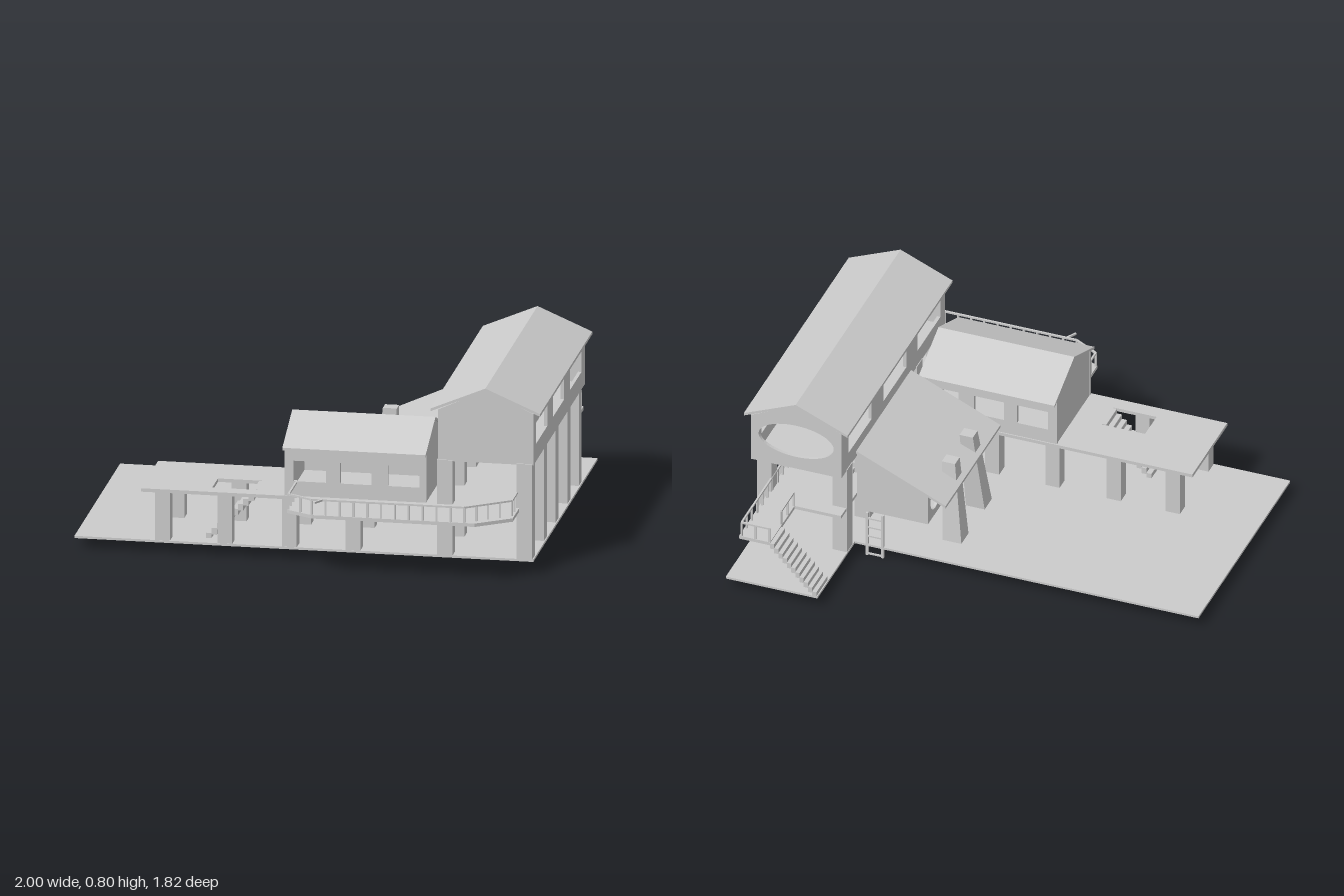
import * as THREE from 'three';

const mat = new THREE.MeshStandardMaterial({ color: 0xcccccc, side: THREE.DoubleSide });

export function createModel() {
  const model = new THREE.Group();

  const add = (name, geo, parent = model) => {
    const m = new THREE.Mesh(geo, mat);
    m.name = name;
    parent.add(m);
    return m;
  };
  const group = (name) => {
    const g = new THREE.Group();
    g.name = name;
    model.add(g);
    return g;
  };
  // Box given by its limits on each axis
  const box = (name, x0, x1, y0, y1, z0, z1, parent) => {
    const m = add(name, new THREE.BoxGeometry(x1 - x0, y1 - y0, z1 - z0), parent);
    m.position.set((x0 + x1) / 2, (y0 + y1) / 2, (z0 + z1) / 2);
    return m;
  };
  const poly = (pts) => new THREE.Shape(pts.map(([a, b]) => new THREE.Vector2(a, b)));
  const rect = (a0, a1, b0, b1) => [[a0, b0], [a1, b0], [a1, b1], [a0, b1]];
  const extrude = (pts, holes, depth) => {
    const s = poly(pts);
    s.holes = holes.map((h) => (Array.isArray(h) ? poly(h) : h));
    return new THREE.ExtrudeGeometry(s, { depth, bevelEnabled: false, curveSegments: 24 });
  };
  // Section in (x, y) running along z; in (z, y) running along x; in (x, z) as a flat slab
  const alongZ = (name, pts, holes, z0, z1, parent) =>
    add(name, extrude(pts, holes, z1 - z0).translate(0, 0, z0), parent);
  const alongX = (name, pts, holes, x0, x1, parent) =>
    add(name, extrude(pts, holes, x1 - x0).rotateY(-Math.PI / 2).translate(x1, 0, 0), parent);
  const slab = (name, pts, holes, y0, y1, parent) =>
    add(name, extrude(pts, holes, y1 - y0).rotateX(Math.PI / 2).translate(0, y1, 0), parent);
  // Bar from a to b
  const bar = (name, a, b, w, parent) => {
    const A = new THREE.Vector3(...a), B = new THREE.Vector3(...b);
    const m = add(name, new THREE.BoxGeometry(w, w, A.distanceTo(B)), parent);
    m.position.copy(A).add(B).multiplyScalar(0.5);
    m.lookAt(B);
  };
  const ellipse = (cx, cy, rx, ry) => {
    const p = new THREE.Path();
    p.absellipse(cx, cy, rx, ry, 0, Math.PI * 2);
    return p;
  };

  // Ground plate with an extension behind the hall
  slab('groundPlate', [[-1, -0.47], [0.555, -0.47], [0.555, -0.91], [0.97, -0.91], [0.97, 0.61], [-1, 0.61]], [], 0.045, 0.055);

  // Raised platform with stair opening, hall walkway and chamfered front balcony
  const decks = group('decks');
  slab('platform', rect(-0.715, 0.56, 0.2, 0.61), [rect(-0.42, -0.225, 0.41, 0.545)], 0.265, 0.28, decks);
  slab('hallWalkway', [[0.56, -0.62], [0.77, -0.62], [0.77, -0.91], [0.91, -0.91], [0.91, 0.61], [0.56, 0.61]], [], 0.265, 0.28, decks);
  slab('balcony', [[-0.05, 0.61], [0.91, 0.61], [0.91, 0.765], [0.765, 0.87], [0.065, 0.87], [-0.05, 0.81]], [], 0.265, 0.28, decks);

  // Railings
  const rails = group('railings');
  const railing = (pts) => {
    for (let i = 0; i + 1 < pts.length; i++) {
      const [x0, z0] = pts[i], [x1, z1] = pts[i + 1];
      bar('handrail', [x0, 0.347, z0], [x1, 0.347, z1], 0.008, rails);
      const n = Math.max(1, Math.round(Math.hypot(x1 - x0, z1 - z0) / 0.06));
      for (let k = 0; k <= n; k++) {
        const x = x0 + (x1 - x0) * k / n, z = z0 + (z1 - z0) * k / n;
        box('railPost', x - 0.004, x + 0.004, 0.275, 0.347, z - 0.004, z + 0.004, rails);
      }
    }
  };
  railing([[-0.045, 0.63], [-0.045, 0.805], [0.065, 0.865], [0.72, 0.865], [0.9, 0.73], [0.9, -0.905], [0.775, -0.905]]);
  railing([[0.775, -0.62], [0.775, -0.765]]);
  bar('railEnd', [0.11, 0.347, 0.865], [0.085, 0.347, 0.91], 0.008, rails);

  // Columns under the hall, platform and small house
  const columns = group('columns');
  for (const z of [0.58, 0.297, 0.02, -0.262, -0.525])
    for (const x of [0.59, 0.932])
      box('hallColumn', x - 0.033, x + 0.033, 0.05, 0.475, z - 0.033, z + 0.033, columns);
  for (const x of [-0.622, -0.355, -0.078, 0.195])
    for (const z of [0.24, 0.578])
      box('platformColumn', x - 0.032, x + 0.032, 0.05, 0.27, z - 0.03, z + 0.03, columns);

  // Long raised hall
  const hall = group('hall');
  const hallWindows = [[0.28, 0.55], [-0.12, 0.15], [-0.53, -0.26]].map(([a, b]) => rect(a, b, 0.547, 0.64));
  for (const x of [0.56, 0.955])
    alongX('hallSideWall', rect(-0.615, 0.605, 0.472, 0.697), hallWindows, x, x + 0.015, hall);
  const gable = [[0.56, 0.472], [0.97, 0.472], [0.97, 0.695], [0.765, 0.79], [0.56, 0.695]];
  alongZ('hallFrontGable', gable, [], 0.592, 0.607, hall);
  alongZ('hallBackGable', gable, [ellipse(0.765, 0.61, 0.17, 0.08)], -0.615, -0.6, hall);
  box('hallFloor', 0.56, 0.97, 0.47, 0.482, -0.615, 0.607, hall);
  alongZ('hallRoof', [[0.53, 0.688], [0.765, 0.788], [1, 0.688], [1, 0.7], [0.765, 0.8], [0.53, 0.7]], [], -0.62, 0.615, hall);

  // Small gabled house on the platform
  const house = group('house');
  const houseWindows = [[-0.06, 0.08], [0.14, 0.275], [0.345, 0.48]].map(([a, b]) => rect(a, b, 0.345, 0.435));
  for (const z of [0.205, 0.59])
    alongZ('houseLongWall', rect(-0.1, 0.51, 0.275, 0.505), houseWindows, z, z + 0.015, house);
  for (const x of [-0.098, 0.493])
    alongX('houseGable', [[0.205, 0.275], [0.605, 0.275], [0.605, 0.505], [0.405, 0.592], [0.205, 0.505]], [], x, x + 0.015, house);
  alongX('houseRoof', [[0.17, 0.488], [0.405, 0.588], [0.64, 0.488], [0.64, 0.5], [0.405, 0.6], [0.17, 0.5]], [], -0.102, 0.513, house);

  // Annex with a single-pitch roof, round windows and a doorway to the hall
  const annex = group('annex');
  const roofY = (x) => 0.345 + 0.45 * (x - 0.14);
  alongZ('annexRoof', [[0.14, roofY(0.14) - 0.012], [0.545, roofY(0.545) - 0.012], [0.545, roofY(0.545)], [0.14, roofY(0.14)]], [], -0.48, 0.165, annex);
  const side = [[0.23, 0.213], [0.55, 0.213], [0.55, roofY(0.55) - 0.012], [0.23, roofY(0.23) - 0.012]];
  for (const z of [-0.455, 0.14]) alongZ('annexEndWall', side, [], z, z + 0.015, annex);
  alongX('annexWindowWall', rect(-0.455, 0.155, 0.213, 0.375), [-0.37, -0.14, 0.08].map((z) => ellipse(z, 0.3, 0.055, 0.055)), 0.23, 0.242, annex);
  alongX('annexDoorWall', rect(-0.455, 0.155, 0.213, 0.505), [rect(-0.125, 0.0, 0.28, 0.4)], 0.538, 0.55, annex);
  box('annexFloor', 0.23, 0.55, 0.213, 0.228, -0.455, 0.155, annex);

  // Splayed piers that pierce the annex roof
  for (const [zTop, zFoot] of [[-0.055, -0.01], [-0.265, -0.285]]) {
    const geo = new THREE.BoxGeometry(1, 1, 1);
    const p = geo.attributes.position;
    for (let i = 0; i < p.count; i++) {
      const top = p.getY(i) > 0;
      p.setXYZ(i, (top ? 0.2 : 0.17) + p.getX(i) * (top ? 0.06 : 0.085), top ? 0.432 : 0.05,
        (top ? zTop : zFoot) + p.getZ(i) * (top ? 0.055 : 0.085));
    }
    geo.computeVertexNormals();
    add('annexPier', geo, annex);
  }

  // Open stairs: climb along one axis from a foot to a head
  const stairs = (name, axis, from, to, side0, side1, y0, y1, n) => {
    const g = group(name);
    const run = (to - from) / n, rise = (y1 - y0) / n;
    for (let i = 0; i < n; i++) {
      const a = Math.min(from + run * i, from + run * (i + 1)), b = a + Math.abs(run);
      const lo = y0 + rise * (i - 0.3), hi = y0 + rise * (i + 1);
      if (axis === 'x') box('step', a, b, lo, hi, side0, side1, g);
      else box('step', side0, side1, lo, hi, a, b, g);
    }
  };
  stairs('platformStairs', 'x', -0.447, -0.22, 0.415, 0.54, 0.055, 0.28, 10);
  stairs('backStairs', 'x', 0.56, 0.77, -0.91, -0.78, 0.055, 0.275, 11);
  stairs('hallStairs', 'z', -0.31, -0.12, 0.625, 0.755, 0.28, 0.475, 9);

  // Ladder over the back edge
  const ladder = group('ladder');
  for (const x of [0.43, 0.5]) box('ladderRail', x - 0.005, x + 0.005, 0, 0.215, -0.472, -0.462, ladder);
  for (let i = 0; i < 5; i++)
    box('rung', 0.43, 0.5, 0.003 + i * 0.045, 0.01 + i * 0.045, -0.47, -0.463, ladder);

  return model;
}
